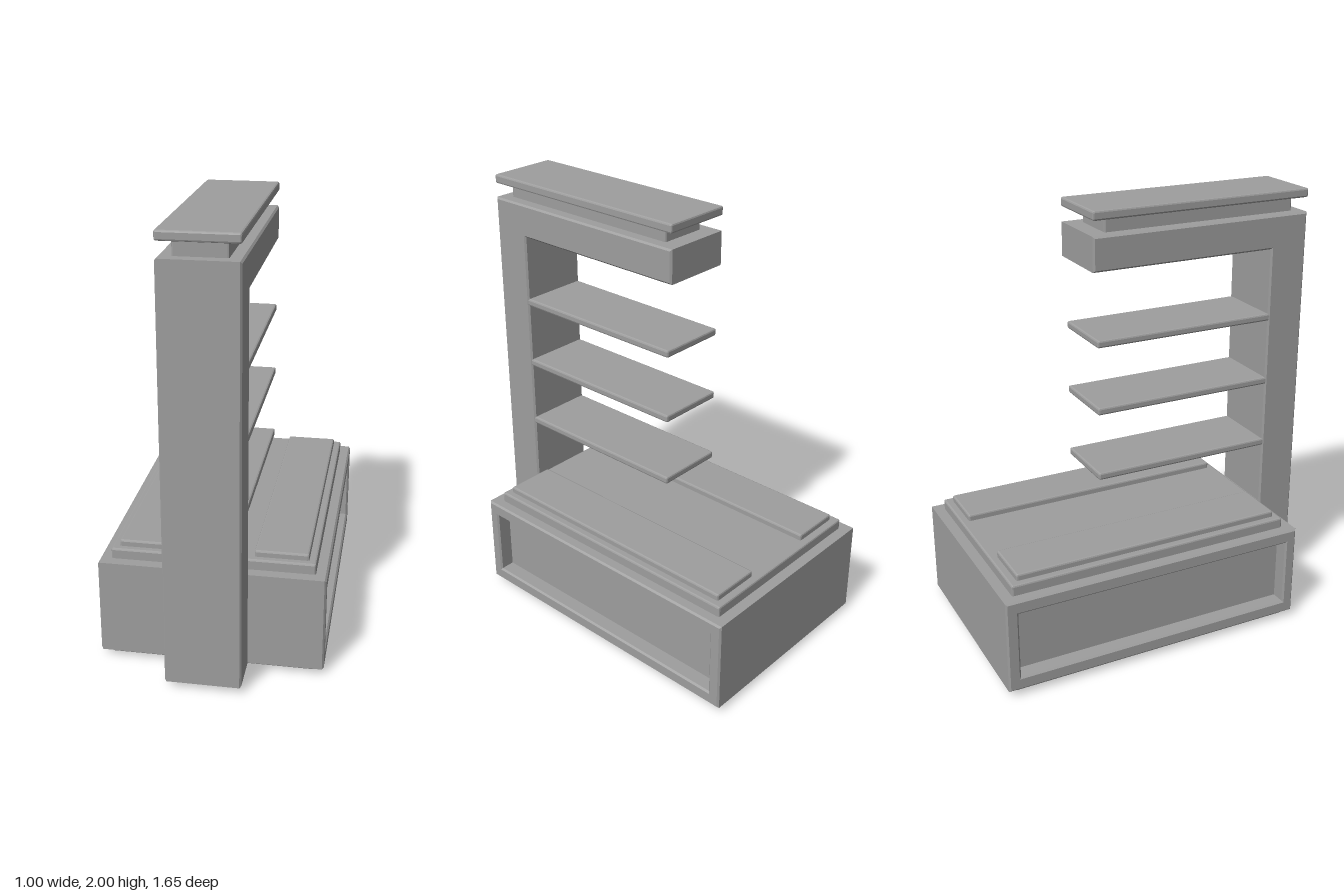
import * as THREE from 'three';
import { RoundedBoxGeometry } from 'three/addons/geometries/RoundedBoxGeometry.js';

const BEVEL = 0.008;
const material = new THREE.MeshStandardMaterial({ color: 0x9e9e9e, flatShading: true });

function addMesh(parent, name, geometry) {
  const mesh = new THREE.Mesh(geometry, material);
  mesh.name = name;
  parent.add(mesh);
  return mesh;
}

// Box with softened edges, given by its extents
function block(parent, name, [x0, x1], [y0, y1], [z0, z1]) {
  const geometry = new RoundedBoxGeometry(x1 - x0, y1 - y0, z1 - z0, 1, BEVEL);
  geometry.translate((x0 + x1) / 2, (y0 + y1) / 2, (z0 + z1) / 2);
  return addMesh(parent, name, geometry);
}

// Side profile in (z, y), extruded across x and centred, with chamfered edges
function sideProfile(parent, name, points, width, hole) {
  const shape = new THREE.Shape(points.map(([z, y]) => new THREE.Vector2(z, y)));
  if (hole) shape.holes.push(new THREE.Path(hole.map(([z, y]) => new THREE.Vector2(z, y))));
  const geometry = new THREE.ExtrudeGeometry(shape, {
    depth: width - 2 * BEVEL, bevelThickness: BEVEL, bevelSize: BEVEL,
    bevelOffset: -BEVEL, bevelSegments: 1,
  });
  geometry.translate(0, 0, BEVEL - width / 2).rotateY(-Math.PI / 2);
  return addMesh(parent, name, geometry);
}

const rect = (z0, z1, y0, y1) => [[z0, y0], [z1, y0], [z1, y1], [z0, y1]];

export function createModel() {
  const model = new THREE.Group();
  model.name = 'displayStand';

  // Plinths under the base and the column
  block(model, 'basePlinth', [-0.463, 0.463], [0, 0.045], [-0.783, 0.597]);
  block(model, 'columnPlinth', [-0.127, 0.127], [0, 0.045], [0.57, 0.787]);

  // Base with a recessed panel on each side
  sideProfile(model, 'baseBody', rect(-0.827, 0.632, 0.03, 0.472), 1.004,
    rect(-0.769, 0.577, 0.092, 0.409).reverse());
  const core = addMesh(model, 'recessedPanels', new THREE.BoxGeometry(0.86, 0.34, 1.37));
  core.position.set(0, 0.25, -0.096);

  // Raised deck and its two long pads
  block(model, 'deck', [-0.452, 0.452], [0.45, 0.52], [-0.777, 0.582]);
  for (const side of [-1, 1]) {
    const pad = block(model, side > 0 ? 'leftPad' : 'rightPad',
      [-0.119, 0.119], [0.505, 0.549], [-0.742, 0.552]);
    pad.position.x = side * 0.3;
  }

  // Column and overhanging arm, joined to the base
  sideProfile(model, 'columnAndArm', [
    [0.642, 0.03], [0.827, 0.03], [0.827, 1.892],
    [-0.247, 1.892], [-0.247, 1.738], [0.642, 1.738],
  ], 0.334);
  block(model, 'columnJoint', [-0.16, 0.16], [0.035, 0.465], [0.6, 0.67]);

  // Cantilevered shelves
  for (const y of [0.768, 1.085, 1.399]) {
    block(model, 'shelf', [-0.164, 0.164], [y, y + 0.034], [-0.229, 0.67]);
  }

  // Neck and cap on top
  block(model, 'neck', [-0.111, 0.111], [1.87, 1.975], [-0.168, 0.777]);
  block(model, 'cap', [-0.167, 0.167], [1.958, 2], [-0.247, 0.827]);

  return model;
}
